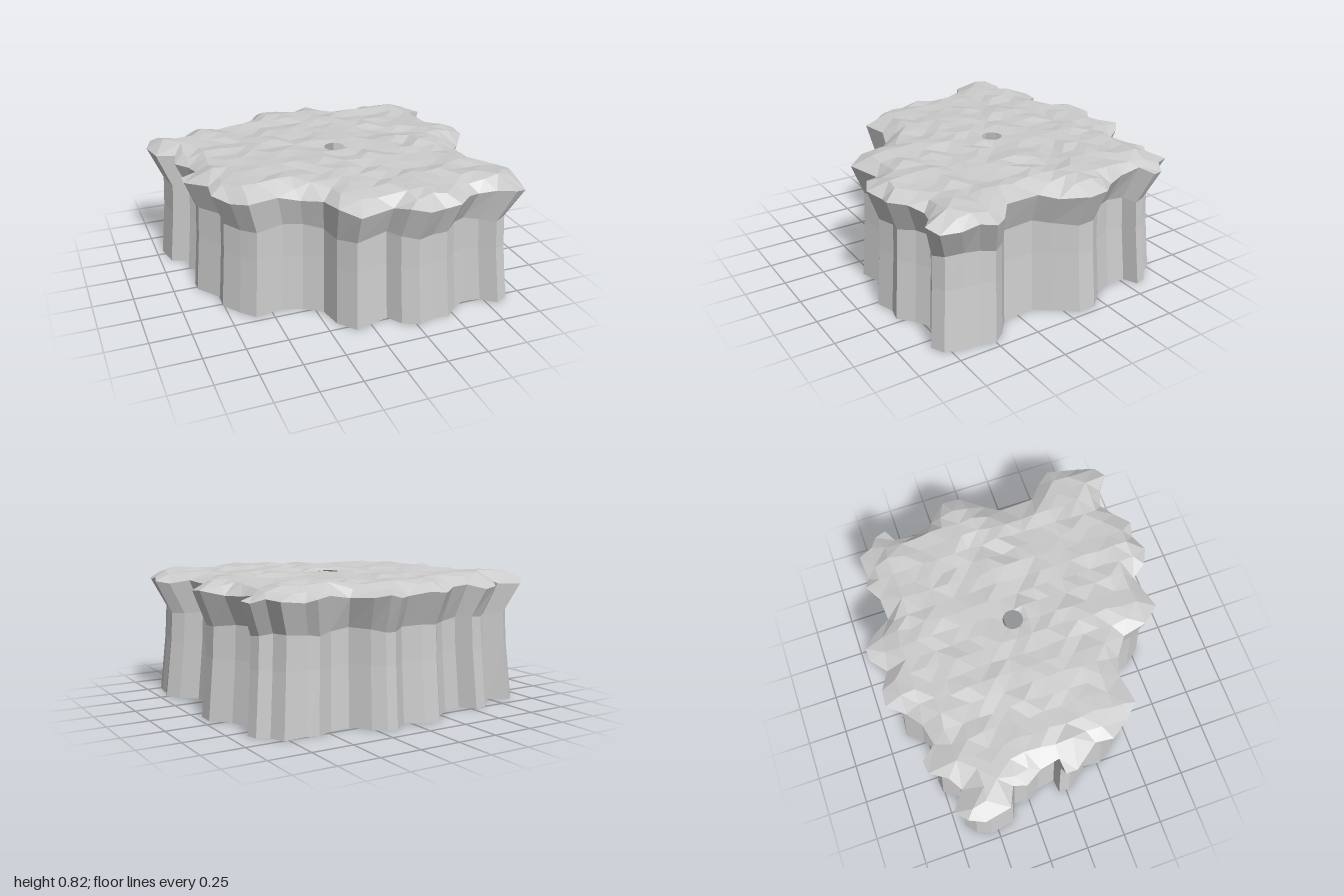
import * as THREE from 'three';

// Ragged rim outline seen from above, as x, z pairs
const RIM = [
  -1, -.57, -.96, -.66, -.89, -.72, -.78, -.64, -.70, -.69, -.63, -.79, -.55, -.80, -.48, -.71,
  -.35, -.74, -.25, -.81, -.17, -.91, -.07, -.90, .04, -.84, .14, -.92, .21, -.92, .28, -.86,
  .36, -.74, .49, -.75, .60, -.81, .66, -.78, .81, -.79, .85, -.70, .92, -.66, .94, -.59,
  .85, -.55, .85, -.42, .90, -.30, 1, -.19, 1, -.08, .90, .06, .83, .15, .84, .36,
  .94, .44, 1, .52, .97, .61, .96, .71, .93, .82, .85, .86, .76, .79, .66, .76,
  .57, .81, .48, .89, .39, .87, .28, .91, .18, .86, .12, .77, -.10, .83, -.19, .72,
  -.22, .57, -.33, .49, -.45, .45, -.63, .48, -.71, .39, -.79, .28, -.78, .17, -.89, .02,
  -.89, -.05, -.80, -.06, -.82, -.18, -.88, -.28, -.86, -.36, -.97, -.41,
];
const outline = [];
for (let i = 0; i < RIM.length; i += 2) outline.push([RIM[i], RIM[i + 1]]);
const HOLE = { x: 0.08, z: -0.035, r: 0.062 };
const rimY = (i) => 0.742 + 0.014 * Math.sin(i * 1.9);

function makeRandom(seed) {
  return () => {
    seed = (seed * 16807) % 2147483647;
    return seed / 2147483647;
  };
}

function inside(x, z) {
  let odd = false;
  outline.forEach(([ax, az], i) => {
    const [bx, bz] = outline[(i + 1) % outline.length];
    if ((az > z) !== (bz > z) && x < ax + ((z - az) / (bz - az)) * (bx - ax)) odd = !odd;
  });
  return odd;
}

function distanceToRim(x, z) {
  let best = Infinity;
  outline.forEach(([ax, az], i) => {
    const [bx, bz] = outline[(i + 1) % outline.length];
    const dx = bx - ax, dz = bz - az;
    const t = THREE.MathUtils.clamp(((x - ax) * dx + (z - az) * dz) / (dx * dx + dz * dz), 0, 1);
    best = Math.min(best, Math.hypot(x - ax - t * dx, z - az - t * dz));
  });
  return best;
}

// Circumcircle of three points, kept with the triangle
function triangle(pts, a, b, c) {
  const [ax, az] = pts[a];
  const bx = pts[b][0] - ax, bz = pts[b][1] - az, cx = pts[c][0] - ax, cz = pts[c][1] - az;
  const d = 2 * (bx * cz - bz * cx), b2 = bx * bx + bz * bz, c2 = cx * cx + cz * cz;
  const ux = (cz * b2 - bz * c2) / d, uz = (bx * c2 - cx * b2) / d;
  return { v: [a, b, c], x: ax + ux, z: az + uz, r2: ux * ux + uz * uz };
}

// Delaunay triangulation by inserting one point at a time
function triangulate(points) {
  const n = points.length;
  const pts = [...points, [-40, -31], [43, -29], [1, 47]];
  let tris = [triangle(pts, n, n + 1, n + 2)];
  for (let p = 0; p < n; p++) {
    const [x, z] = pts[p];
    const edges = new Map();
    tris = tris.filter((t) => {
      if ((x - t.x) ** 2 + (z - t.z) ** 2 >= t.r2) return true;
      t.v.forEach((a, k) => {
        const b = t.v[(k + 1) % 3];
        if (!edges.delete(b + '_' + a)) edges.set(a + '_' + b, [a, b]);
      });
      return false;
    });
    for (const [a, b] of edges.values()) tris.push(triangle(pts, a, b, p));
  }
  return tris.map((t) => t.v).filter((v) => v.every((i) => i < n));
}

function buildGeometry(positions, index) {
  const geometry = new THREE.BufferGeometry();
  geometry.setAttribute('position', new THREE.Float32BufferAttribute(positions, 3));
  geometry.setIndex(index);
  geometry.computeVertexNormals();
  return geometry;
}

// Cliff wall: the outline stacked in rings, waisted below the rim and open underneath
function cliffGeometry() {
  const rings = [[0, 0.96], [0.36, 0.925], [0.55, 0.915], [null, 1]];
  const n = outline.length, positions = [], index = [];
  rings.forEach(([y, scale], r) => {
    outline.forEach(([x, z], i) => {
      const height = y === null ? rimY(i) : y + (r === 2 ? 0.012 * Math.sin(i * 1.3) : 0);
      positions.push(x * scale, height, z * scale);
    });
    if (r === 0) return;
    for (let i = 0; i < n; i++) {
      const a = (r - 1) * n + i, b = (r - 1) * n + ((i + 1) % n);
      index.push(a, a + n, b, b, a + n, b + n);
    }
  });
  return buildGeometry(positions, index);
}

// Plateau: a bumpy faceted surface that dips to the rim, with a round hole
function plateauGeometry() {
  const random = makeRandom(71);
  const points = outline.map(([x, z]) => [x, z]);
  const heights = outline.map((p, i) => rimY(i));
  for (let i = 0; i < 16; i++) {
    const a = (i / 16) * Math.PI * 2 + 0.01;
    points.push([HOLE.x + HOLE.r * Math.cos(a), HOLE.z + HOLE.r * Math.sin(a)]);
    heights.push(0.803);
  }
  const step = 0.095;
  for (let gx = -1; gx <= 1; gx += step) {
    for (let gz = -1; gz <= 1; gz += step) {
      const x = gx + (random() - 0.5) * 0.02, z = gz + (random() - 0.5) * 0.02;
      const bump = random() - 0.5;
      if (!inside(x, z) || Math.hypot(x - HOLE.x, z - HOLE.z) < HOLE.r + 0.03) continue;
      const d = distanceToRim(x, z);
      if (d < 0.045) continue;
      const swell = 0.012 * Math.exp(-3 * ((x + 0.15) ** 2 + (z - 0.15) ** 2));
      points.push([x, z]);
      heights.push(0.745 + 0.055 * THREE.MathUtils.smoothstep(d, -0.04, 0.13) + swell + bump * 0.026);
    }
  }
  const index = [];
  for (const [a, b, c] of triangulate(points)) {
    const [A, B, C] = [points[a], points[b], points[c]];
    const x = (A[0] + B[0] + C[0]) / 3, z = (A[1] + B[1] + C[1]) / 3;
    if (!inside(x, z) || Math.hypot(x - HOLE.x, z - HOLE.z) < HOLE.r * 0.95) continue;
    const turn = (B[0] - A[0]) * (C[1] - A[1]) - (B[1] - A[1]) * (C[0] - A[0]);
    index.push(...(turn > 0 ? [a, c, b] : [a, b, c]));
  }
  return buildGeometry(points.flatMap(([x, z], i) => [x, heights[i], z]), index);
}

export function createModel() {
  const material = new THREE.MeshStandardMaterial({
    color: 0xcccccc, flatShading: true, side: THREE.DoubleSide,
  });
  const group = new THREE.Group();
  group.name = 'rockPlateau';
  const parts = { cliffWall: cliffGeometry(), plateauTop: plateauGeometry() };
  for (const [name, geometry] of Object.entries(parts)) {
    const mesh = new THREE.Mesh(geometry, material);
    mesh.name = name;
    group.add(mesh);
  }
  return group;
}
